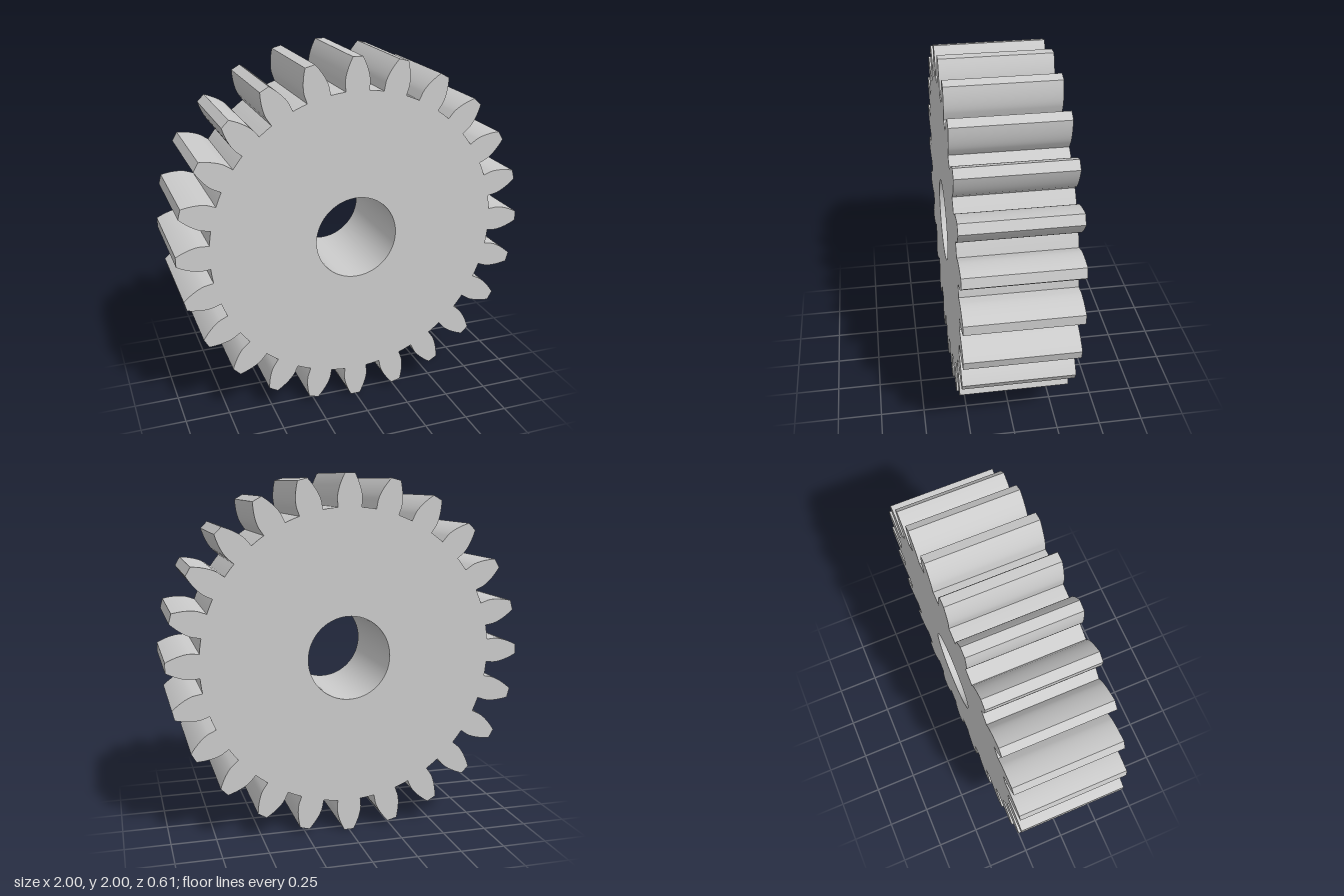
import * as THREE from 'three';
import { toCreasedNormals } from 'three/addons/utils/BufferGeometryUtils.js';

const TEETH = 24;
const TIP_R = 1;
const ROOT_R = 0.822;
const BORE_R = 0.233;
const WIDTH = 0.61;

// Involute proportions with a 20 degree pressure angle
const PRESSURE = THREE.MathUtils.degToRad(20);
const PITCH_R = (TIP_R * TEETH) / (TEETH + 2);
const BASE_R = PITCH_R * Math.cos(PRESSURE);
const involute = (a) => Math.tan(a) - a;

// Half the angle a tooth spans at radius r
function halfAngle(r) {
  const a = Math.acos(Math.min(1, BASE_R / r));
  return Math.PI / (2 * TEETH) + involute(PRESSURE) - involute(a);
}

function gearOutline() {
  const pitch = (2 * Math.PI) / TEETH;
  // One flank from root to tip as [radius, half angle]
  const flank = [[ROOT_R, halfAngle(ROOT_R)]];
  for (let i = 0; i <= 8; i++) {
    const r = THREE.MathUtils.lerp(BASE_R, TIP_R, i / 8);
    flank.push([r, halfAngle(r)]);
  }
  const points = [];
  const add = (r, a) => points.push(new THREE.Vector2(r * Math.cos(a), r * Math.sin(a)));
  for (let t = 0; t < TEETH; t++) {
    const mid = t * pitch;
    flank.forEach(([r, h]) => add(r, mid - h));
    [...flank].reverse().forEach(([r, h]) => add(r, mid + h));
    // Floor of the gap up to the next tooth
    const h = halfAngle(ROOT_R);
    for (let i = 1; i < 3; i++) add(ROOT_R, mid + THREE.MathUtils.lerp(h, pitch - h, i / 3));
  }
  return points;
}

export function createModel() {
  const group = new THREE.Group();
  group.name = 'spurGear';

  const shape = new THREE.Shape(gearOutline());
  const bore = new THREE.Path();
  bore.absarc(0, 0, BORE_R, 0, Math.PI * 2, true);
  shape.holes.push(bore);

  // Toothed wheel with its central bore
  const geometry = new THREE.ExtrudeGeometry(shape, {
    depth: WIDTH,
    bevelEnabled: false,
    curveSegments: 72,
  });
  geometry.translate(0, 0, -WIDTH / 2);

  const wheel = new THREE.Mesh(
    toCreasedNormals(geometry, 0.45),
    new THREE.MeshStandardMaterial({ color: 0xcccccc })
  );
  wheel.name = 'toothedWheel';
  wheel.position.y = TIP_R;
  group.add(wheel);
  return group;
}
